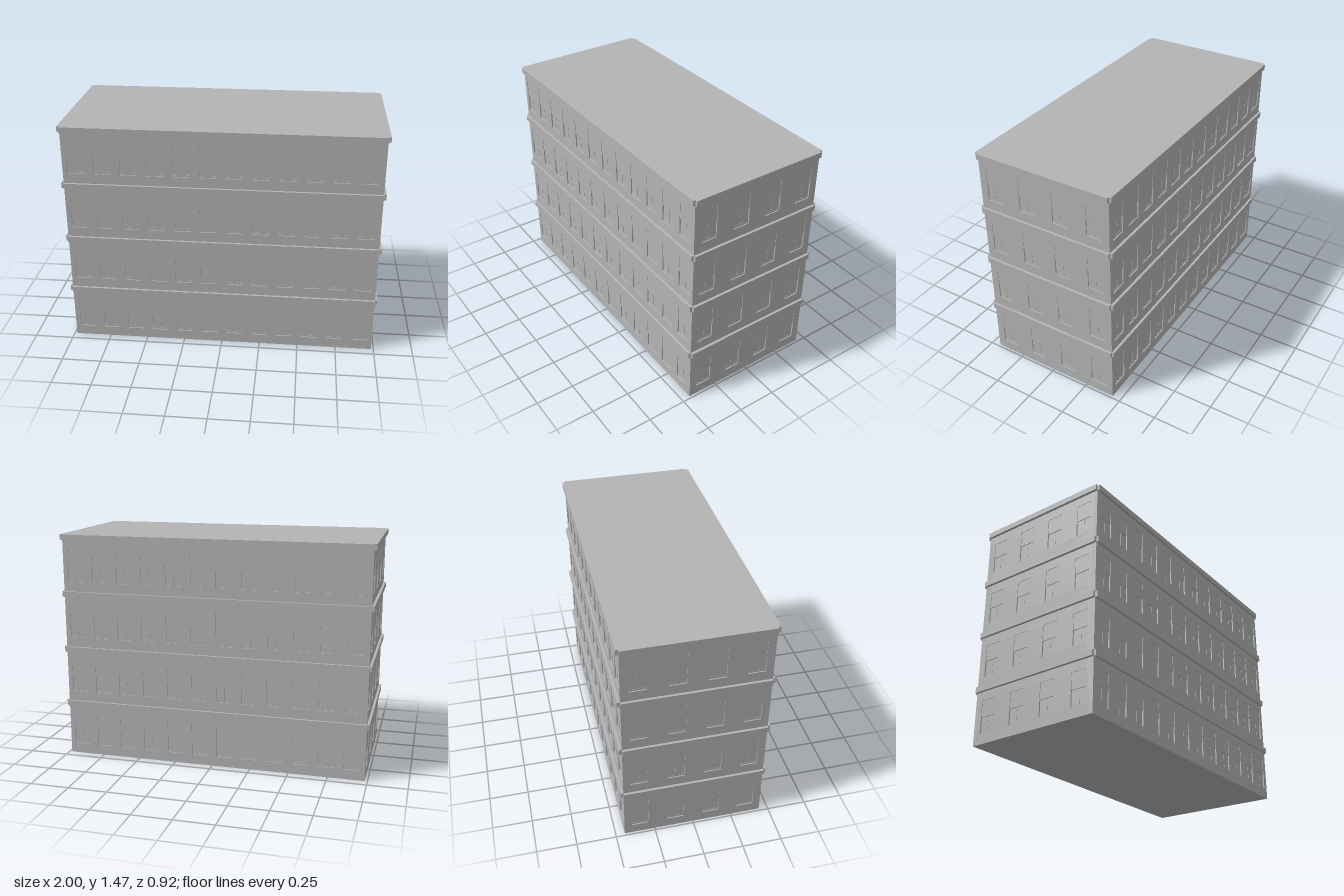
import * as THREE from 'three';

const HX = 0.984, HZ = 0.443;        // half width and half depth of the walls
const FLOORS = 4, STOREY = 0.367, HEIGHT = 1.47;
const WALL = 0.01;                   // thickness of the pierced wall skin
const WIN_W = 0.105, WIN_H = 0.21, SILL = 0.065;
const BAND_H = 0.036, BAND_D = 0.016;

export function createModel() {
  const stone = new THREE.MeshStandardMaterial({ color: 0xb4b4b4 });
  stone.name = 'grey stone';
  const building = new THREE.Group();
  building.name = 'building';

  const box = (parent, name, w, h, d, x, y, z) => {
    const mesh = new THREE.Mesh(new THREE.BoxGeometry(w, h, d), stone);
    mesh.name = name;
    mesh.position.set(x, y, z);
    parent.add(mesh);
  };

  // Solid core behind the wall skins
  box(building, 'core', 2 * (HX - WALL), HEIGHT, 2 * (HZ - WALL), 0, HEIGHT / 2, 0);

  // One facade, built facing +z with its outer wall face at z = 0
  function facade(name, half, trim, columns, pitch) {
    const group = new THREE.Group();
    group.name = name;
    const w = half - trim;
    const wall = new THREE.Shape([
      new THREE.Vector2(-w, 0), new THREE.Vector2(w, 0),
      new THREE.Vector2(w, HEIGHT), new THREE.Vector2(-w, HEIGHT),
    ]);
    for (let f = 0; f < FLOORS; f++) {
      const y = f * STOREY + SILL;
      for (let c = 0; c < columns; c++) {
        const x = (c - (columns - 1) / 2) * pitch;
        const l = x - WIN_W / 2, r = x + WIN_W / 2;
        wall.holes.push(new THREE.Path([
          new THREE.Vector2(l, y), new THREE.Vector2(l, y + WIN_H),
          new THREE.Vector2(r, y + WIN_H), new THREE.Vector2(r, y),
        ]));
        // Upper sash sits in front of the lower one
        box(group, 'upperSash', WIN_W, WIN_H / 2, 0.006, x, y + WIN_H * 0.75, -0.006);
        box(group, 'lowerSash', WIN_W, WIN_H / 2, 0.002, x, y + WIN_H * 0.25, -0.009);
        box(group, 'glazingBar', 0.006, WIN_H / 2, 0.002, x, y + WIN_H * 0.25, -0.0075);
        box(group, 'bottomRail', WIN_W, 0.012, 0.002, x, y + 0.006, -0.0075);
      }
      // String course above each storey, the last one being the cornice
      const top = (f + 1) * STOREY + 0.002;
      box(group, f === FLOORS - 1 ? 'cornice' : 'stringCourse',
        2 * half, BAND_H, BAND_D, 0, top - BAND_H / 2, BAND_D / 2);
    }
    const skin = new THREE.Mesh(
      new THREE.ExtrudeGeometry(wall, { depth: WALL, bevelEnabled: false }), stone);
    skin.name = 'wall';
    skin.position.z = -WALL;
    group.add(skin);
    return group;
  }

  // Long facades front and back, short facades on the ends
  for (const side of [1, -1]) {
    const long = facade(side > 0 ? 'frontFacade' : 'backFacade', HX, 0, 12, 0.1637);
    long.position.z = side * HZ;
    long.rotation.y = side > 0 ? 0 : Math.PI;
    const end = facade(side > 0 ? 'leftFacade' : 'rightFacade', HZ, WALL, 4, 0.228);
    end.position.x = side * HX;
    end.rotation.y = side * Math.PI / 2;
    building.add(long, end);
  }
  return building;
}
